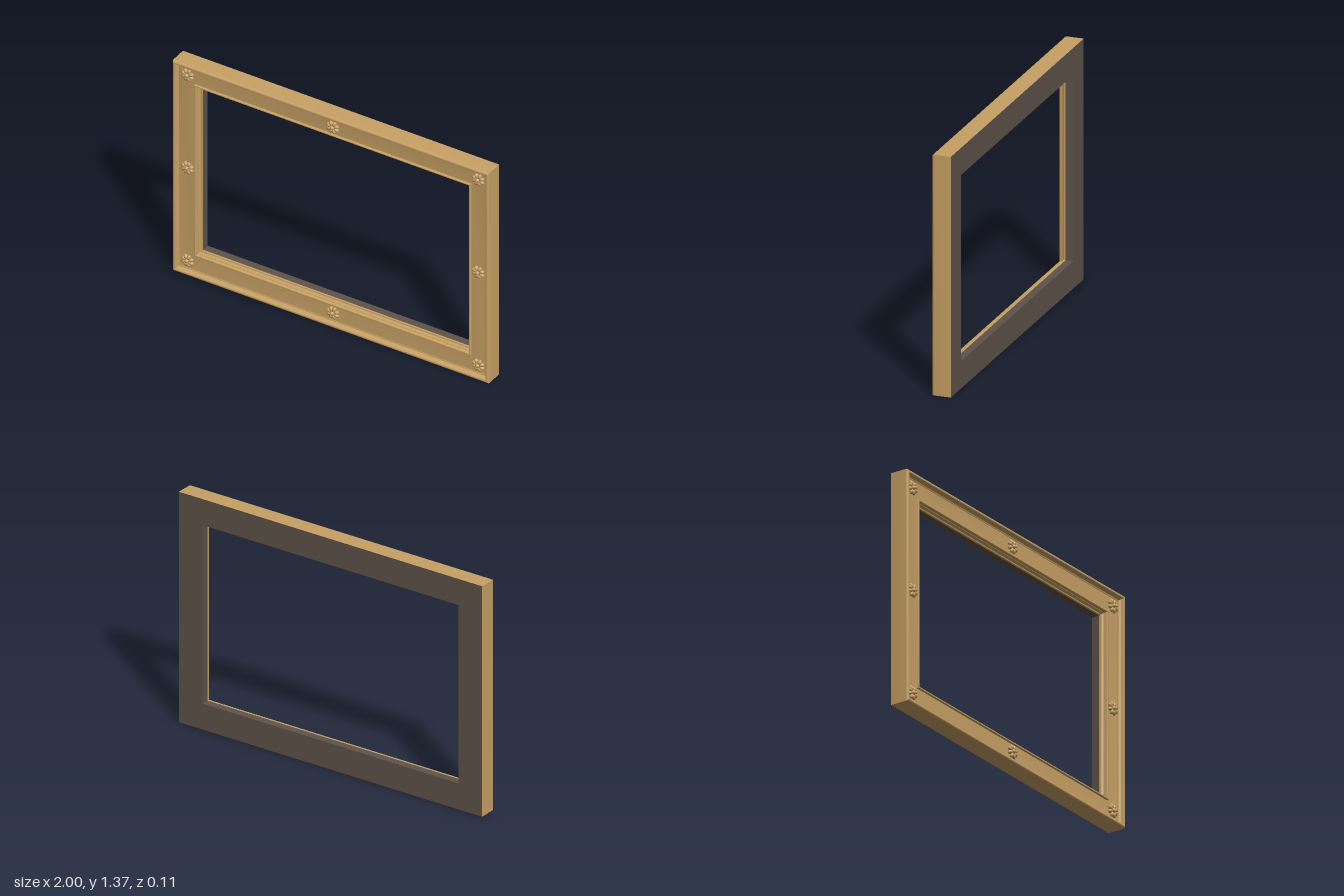
import * as THREE from 'three';
import { mergeGeometries, toCreasedNormals } from 'three/addons/utils/BufferGeometryUtils.js';

const HALF_W = 1, HEIGHT = 1.37, FRIEZE_Z = 0.024, BAND = 0.155;

// Sweeps a profile of [inset from outer edge, z] around the rectangle with mitred corners
function mitredSweep(profile) {
  const positions = [];
  const corner = (c, [d, z]) => [
    (c === 0 || c === 3 ? -1 : 1) * (HALF_W - d),
    c < 2 ? d : HEIGHT - d,
    z,
  ];
  for (let c = 0; c < 4; c++) {
    const n = (c + 1) % 4;
    for (let i = 0; i < profile.length - 1; i++) {
      const a = corner(c, profile[i]), b = corner(n, profile[i]);
      const e = corner(n, profile[i + 1]), f = corner(c, profile[i + 1]);
      positions.push(...a, ...b, ...e, ...a, ...e, ...f);
    }
  }
  const geometry = new THREE.BufferGeometry();
  geometry.setAttribute('position', new THREE.Float32BufferAttribute(positions, 3));
  return toCreasedNormals(geometry, 0.6);
}

// Points along an elliptical arc of the profile
function arc(cd, cz, rd, rz, from, to, steps = 6) {
  return Array.from({ length: steps + 1 }, (_, i) => {
    const t = THREE.MathUtils.degToRad(from + ((to - from) * i) / steps);
    return [cd + rd * Math.cos(t), cz + rz * Math.sin(t)];
  });
}

// Eight domed petals around a round boss
function rosetteGeometry() {
  const parts = [];
  for (let i = 0; i < 8; i++) {
    const petal = new THREE.SphereGeometry(1, 12, 8);
    petal.scale(0.017, 0.0115, 0.013);
    petal.translate(0.024, 0, 0.003);
    petal.rotateZ((i * Math.PI) / 4 + Math.PI / 8);
    parts.push(petal);
  }
  const boss = new THREE.SphereGeometry(1, 16, 10);
  boss.scale(0.015, 0.015, 0.024);
  parts.push(boss);
  return mergeGeometries(parts);
}

export function createModel() {
  const gold = new THREE.MeshStandardMaterial({ name: 'antique gold', color: 0xc8a165 });
  const brown = new THREE.MeshStandardMaterial({ name: 'dark brown backing', color: 0x5f534a });
  const group = new THREE.Group();
  group.name = 'pictureFrame';

  const add = (name, geometry, material) => {
    const mesh = new THREE.Mesh(geometry, material);
    mesh.name = name;
    group.add(mesh);
    return mesh;
  };

  // Outer wall, rounded rim, cove, flat frieze, inner bead and sight edge
  add('moulding', mitredSweep([
    [0, -0.055],
    ...arc(0.011, 0.041, 0.011, 0.014, 180, 60),
    ...arc(0.032, 0.047, 0.013, 0.019, 180, 270),
    [0.032, FRIEZE_Z],
    [0.125, FRIEZE_Z],
    ...arc(0.132, FRIEZE_Z, 0.007, 0.011, 180, 0),
    [0.139, 0.016],
    ...arc(BAND, 0.016, 0.014, 0.014, 180, 270),
    [BAND, -0.01],
  ]), gold);

  // Back face and rear part of the opening wall
  add('backing', mitredSweep([[BAND, -0.01], [BAND, -0.055], [0, -0.055]]), brown);

  // Rosettes at the corners and the middle of each rail
  const rosette = rosetteGeometry();
  for (const x of [-0.92, 0, 0.92]) {
    for (const y of [0.08, HEIGHT / 2, HEIGHT - 0.08]) {
      if (x === 0 && y === HEIGHT / 2) continue;
      add('rosette', rosette, gold).position.set(x, y, FRIEZE_Z);
    }
  }
  return group;
}
